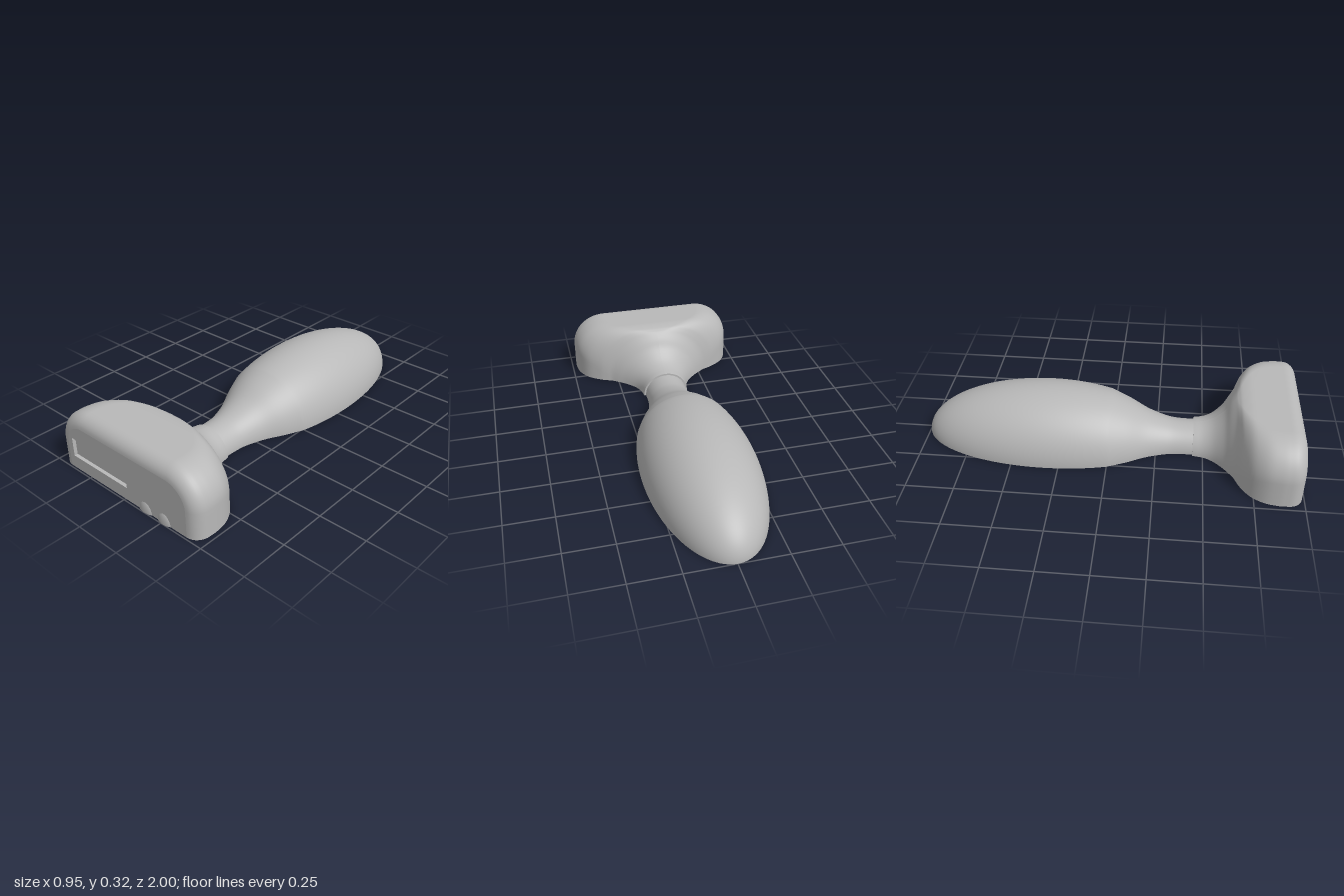
import * as THREE from 'three';

const grey = new THREE.MeshStandardMaterial({ color: 0xb8b8b8 });
grey.name = 'grey plastic';

const HOLE_RADIUS = 0.024;

function add(parent, name, geometry) {
  const mesh = new THREE.Mesh(geometry, grey);
  mesh.name = name;
  parent.add(mesh);
  return mesh;
}

// Flat underside from mirrored [half width, z] points, with round openings [x, z]
function underside(profile, holes) {
  const right = profile.map(([w, z]) => new THREE.Vector2(w, z));
  const left = profile.map(([w, z]) => new THREE.Vector2(-w, z)).reverse();
  const shape = new THREE.Shape([...right, ...left]);
  for (const [x, z] of holes) {
    shape.holes.push(new THREE.Path().absarc(x, z, HOLE_RADIUS, 0, Math.PI * 2, true));
  }
  return new THREE.ShapeGeometry(shape, 12).rotateX(Math.PI / 2);
}

// Arch outline: straight sides, elliptical corners, flat top
function arch({ w, h, rx, ry }) {
  const pts = [];
  for (let i = 0; i < 5; i++) pts.push([w, ((h - ry) * i) / 5]);
  for (let i = 0; i <= 16; i++) {
    const a = (i / 16) * Math.PI / 2;
    pts.push([w - rx + rx * Math.cos(a), h - ry + ry * Math.sin(a)]);
  }
  const mirrored = pts.map(([x, y]) => [-x, y]).reverse();
  return [...pts, [0, h], ...mirrored];
}

function loft(sections) {
  const rings = sections.map(arch);
  const n = rings[0].length;
  const pos = [], index = [];
  rings.forEach((ring, k) => {
    ring.forEach(([x, y]) => pos.push(x, y, sections[k].z));
    if (k === 0) return;
    for (let i = 0; i < n - 1; i++) {
      const a = (k - 1) * n + i, c = k * n + i;
      index.push(a, a + 1, c, a + 1, c + 1, c);
    }
  });
  const g = new THREE.BufferGeometry();
  g.setAttribute('position', new THREE.Float32BufferAttribute(pos, 3));
  g.setIndex(index);
  g.computeVertexNormals();
  return g;
}

// Flared body from neck to front: z, half width, height, corner radii
function headSections() {
  const keys = [
    [0.445, 0.13, 0.13, 0.13, 0.13],
    [0.5, 0.14, 0.14, 0.14, 0.14],
    [0.55, 0.165, 0.165, 0.165, 0.165],
    [0.6, 0.212, 0.212, 0.212, 0.21],
    [0.63, 0.25, 0.26, 0.25, 0.25],
    [0.655, 0.285, 0.29, 0.27, 0.26],
    [0.67, 0.32, 0.302, 0.27, 0.25],
    [0.69, 0.36, 0.312, 0.25, 0.23],
    [0.735, 0.42, 0.32, 0.22, 0.21],
    [0.8, 0.46, 0.32, 0.195, 0.185],
    [0.87, 0.475, 0.32, 0.19, 0.18],
    [0.92, 0.475, 0.32, 0.19, 0.18],
  ];
  const curve = (f) => new THREE.CatmullRomCurve3(keys.map(f), false, 'catmullrom');
  const size = curve(([z, w, h]) => new THREE.Vector3(w, h, z));
  const corner = curve(([z, , , rx, ry]) => new THREE.Vector3(rx, ry, z));
  const out = [];
  const steps = (keys.length - 1) * 4;
  for (let i = 0; i <= steps; i++) {
    const s = size.getPoint(i / steps), c = corner.getPoint(i / steps);
    out.push({ z: s.z, w: s.x, h: Math.min(s.y, 0.32), rx: Math.min(c.x, s.x), ry: Math.min(c.y, s.y) });
  }
  // Rounded front edge
  for (let i = 1; i <= 8; i++) {
    const a = (i / 8) * Math.PI / 2, d = 0.07 * (1 - Math.cos(a));
    out.push({ z: 0.92 + 0.07 * Math.sin(a), w: 0.475 - d, h: 0.32 - d, rx: 0.19 - d, ry: 0.18 - d });
  }
  return out;
}

function buildHandle() {
  const handle = new THREE.Group();
  handle.name = 'handle';

  // Elliptical grip running into a narrow neck: [radius, z]
  const profile = [];
  for (let i = 0; i <= 40; i++) {
    const a = (i / 40) * (Math.PI / 2 + Math.asin(0.33 / 0.67));
    profile.push([0.3 * Math.sin(a), -0.33 - 0.67 * Math.cos(a)]);
  }
  const neck = new THREE.SplineCurve([[0.261, 0], [0.217, 0.1], [0.165, 0.2], [0.131, 0.3], [0.121, 0.37], [0.12, 0.46]]
    .map(([r, z]) => new THREE.Vector2(r, z)));
  for (const p of neck.getPoints(24).slice(1)) profile.push([p.x, p.y]);

  const points = profile.map(([r, z]) => new THREE.Vector2(r, z));
  add(handle, 'gripShell', new THREE.LatheGeometry(points, 40, Math.PI / 2, Math.PI).rotateX(Math.PI / 2));
  add(handle, 'gripUnderside', underside(profile.slice(1), [[0, -0.36]]));
  return handle;
}

function buildHead() {
  const head = new THREE.Group();
  head.name = 'head';
  const sections = headSections();
  add(head, 'headShell', loft(sections));
  add(head, 'headUnderside', underside(sections.map((s) => [s.w, s.z]), [[0.24, 0.77], [-0.24, 0.77]]));

  // Step where the head meets the neck
  add(head, 'collarRim', new THREE.RingGeometry(0.115, 0.13, 40, 1, 0, Math.PI).rotateY(Math.PI))
    .position.z = 0.445;

  // Front panel with a rectangular window recess
  const panel = new THREE.Shape(arch(sections[sections.length - 1]).map(([x, y]) => new THREE.Vector2(x, y)));
  const [x0, x1, y0, y1] = [-0.373, 0.018, 0.07, 0.172];
  panel.holes.push(new THREE.Path([[x0, y0], [x0, y1], [x1, y1], [x1, y0]].map(([x, y]) => new THREE.Vector2(x, y))));
  add(head, 'frontPanel', new THREE.ExtrudeGeometry(panel, { depth: 0.02, bevelEnabled: false }))
    .position.z = 0.97;
  add(head, 'windowFloor', new THREE.PlaneGeometry(x1 - x0, y1 - y0))
    .position.set((x0 + x1) / 2, (y0 + y1) / 2, 0.972);

  // Two soft buttons on the lower front edge
  for (const x of [0.14, 0.262]) {
    const dome = new THREE.SphereGeometry(1, 32, 12, 0, Math.PI * 2, 0, Math.PI / 2);
    add(head, 'button', dome.scale(0.048, 0.06, 0.02)).position.set(x, 0, 0.98);
  }
  return head;
}

export function createModel() {
  const model = new THREE.Group();
  model.name = 'handheldDevice';
  model.add(buildHandle(), buildHead());
  return model;
}
